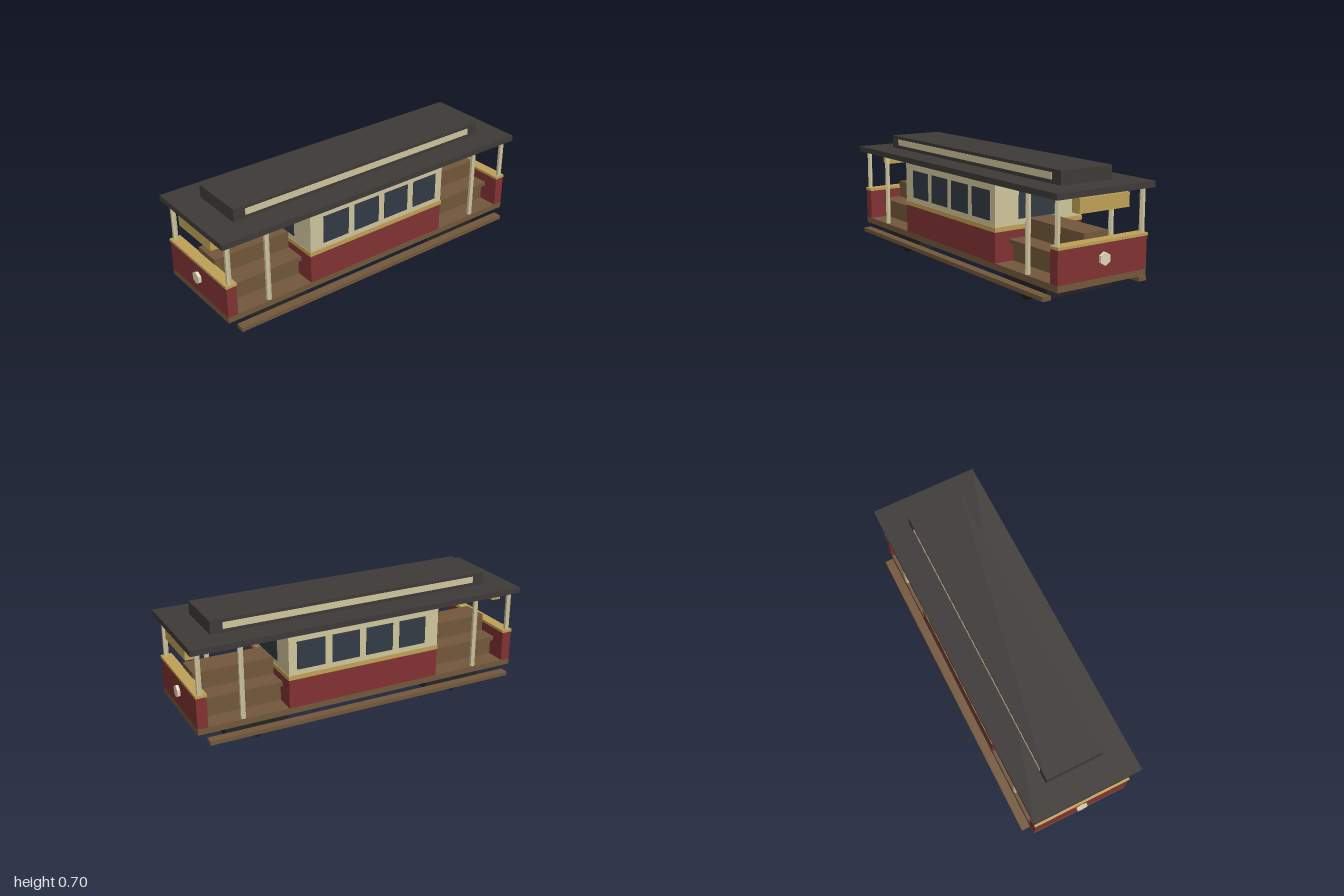
import * as THREE from 'three';

const mat = (color) => new THREE.MeshStandardMaterial({ color, flatShading: true });
const M = {
  roof: mat(0x3e3a38), cream: mat(0xd0c59d), red: mat(0x823233), gold: mat(0xbfa156),
  wood: mat(0x73573b), glass: mat(0x323b45), truck: mat(0x242424), wheel: mat(0x1b1b1b), lamp: mat(0xe0d7b6),
};

export function createModel() {
  const tram = new THREE.Group();
  tram.name = 'tram';

  const add = (name, geometry, material, x, y, z) => {
    const mesh = new THREE.Mesh(geometry, material);
    mesh.name = name;
    mesh.position.set(x, y, z);
    tram.add(mesh);
    return mesh;
  };
  // Box given by its extents along each axis
  const box = (name, material, [x0, x1], [y0, y1], [z0, z1]) =>
    add(name, new THREE.BoxGeometry(x1 - x0, y1 - y0, z1 - z0), material,
      (x0 + x1) / 2, (y0 + y1) / 2, (z0 + z1) / 2);
  // The same extents mirrored to the chosen side
  const flip = (s, a, b) => (s > 0 ? [a, b] : [-b, -a]);
  const both = (a) => [-a, a];

  // Floor and roof
  box('floor', M.wood, both(0.288), [0.135, 0.17], both(0.978));
  box('roof', M.roof, both(0.315), [0.593, 0.625], both(1));
  box('clerestory', M.roof, both(0.165), [0.625, 0.7], both(0.84));
  box('clerestoryWindows', M.cream, both(0.167), [0.645, 0.682], both(0.77));

  // Closed cabin
  box('cabinLower', M.red, both(0.288), [0.17, 0.335], both(0.46));
  box('cabinBelt', M.gold, both(0.292), [0.335, 0.36], both(0.464));
  box('cabinUpper', M.cream, both(0.288), [0.36, 0.593], both(0.46));
  for (const z of [0.293, 0.085, -0.121, -0.329]) {
    box('sideWindows', M.glass, both(0.291), [0.39, 0.55], [z - 0.083, z + 0.083]);
  }
  box('endWindows', M.glass, both(0.138), [0.39, 0.55], both(0.463));

  // Poles are slim hexagonal prisms
  const pole = (x, y0, z) => {
    const geometry = new THREE.CylinderGeometry(0.015, 0.015, 0.593 - y0, 6).rotateY(Math.PI / 6);
    add('pole', geometry, M.cream, x, (y0 + 0.593) / 2, z);
  };

  // Open platforms, alike at both ends
  for (const s of [1, -1]) {
    box('dash', M.red, both(0.288), [0.17, 0.345], flip(s, 0.92, 0.978));
    box('dashRail', M.gold, both(0.291), [0.345, 0.36], flip(s, 0.917, 0.981));
    box('signBoard', M.gold, both(0.16), [0.507, 0.583], flip(s, 0.922, 0.98));
    const lamp = new THREE.CylinderGeometry(0.035, 0.035, 0.03, 6).rotateX(Math.PI / 2);
    add('headlamp', lamp, M.lamp, 0, 0.267, s * 0.98);

    // Back-to-back bench
    box('benchBack', M.wood, both(0.08), [0.17, 0.39], flip(s, 0.46, 0.92));
    box('benchSeat', M.wood, both(0.2), [0.265, 0.29], flip(s, 0.46, 0.92));
    box('benchBase', M.wood, both(0.17), [0.17, 0.265], flip(s, 0.46, 0.92));

    // Truck under the platform
    box('truck', M.truck, both(0.217), [0.05, 0.135], flip(s, 0.44, 0.805));

    for (const side of [1, -1]) {
      pole(side * 0.273, 0.36, s * 0.953);
      pole(side * 0.273, 0.17, s * 0.722);
      // Six-sided wheel resting on a flat
      const wheel = new THREE.CylinderGeometry(0.066, 0.066, 0.041, 6)
        .rotateY(Math.PI / 6).rotateZ(Math.PI / 2);
      wheel.computeBoundingBox();
      add('wheel', wheel, M.wheel, side * 0.195, 0, s * 0.622).position.y = -wheel.boundingBox.min.y;
    }
  }

  // Running boards
  for (const side of [1, -1]) {
    box('runningBoard', M.wood, flip(side, 0.288, 0.338), [0.089, 0.112], both(0.93));
  }

  // Grip lever on the front platform
  box('gripLever', M.gold, both(0.011), [0.36, 0.515], [0.545, 0.567]);

  return tram;
}
